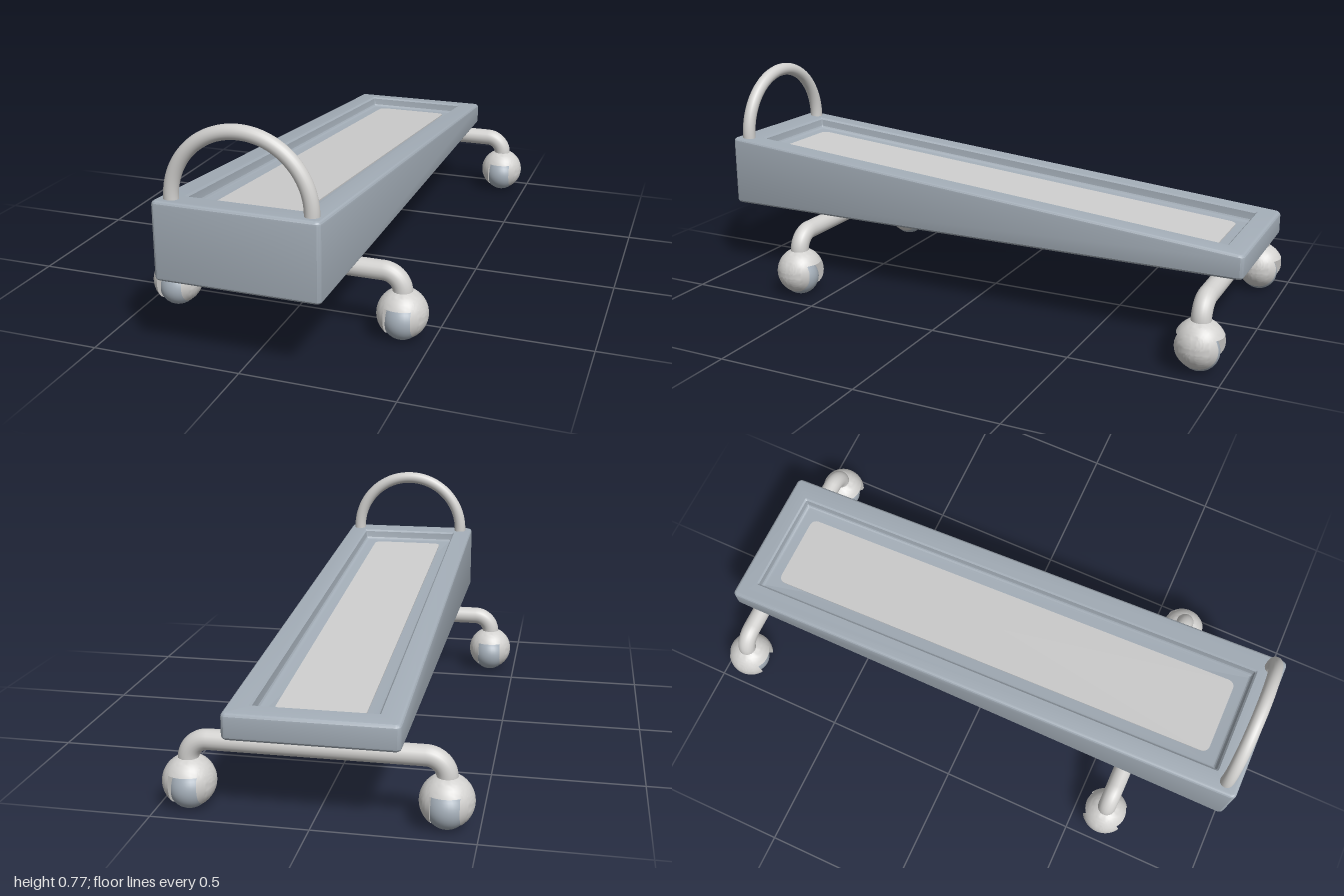
import * as THREE from 'three';
import { toCreasedNormals } from 'three/addons/utils/BufferGeometryUtils.js';

const mat = (name, color, side = THREE.FrontSide) => {
  const m = new THREE.MeshStandardMaterial({ color, side });
  m.name = name;
  return m;
};

// height of the sloping deck at depth z
const deckY = z => 0.4375 + 0.0875 * z;

const CORNER = 4;

// rounded rectangle loop; yAt gives the height at each z
function ring(x0, x1, z0, z1, r, yAt) {
  const pts = [];
  const corners = [[x1 - r, z1 - r], [x0 + r, z1 - r], [x0 + r, z0 + r], [x1 - r, z0 + r]];
  corners.forEach(([cx, cz], q) => {
    for (let i = 0; i <= CORNER; i++) {
      const a = (q + i / CORNER) * Math.PI / 2;
      const z = cz + r * Math.sin(a);
      pts.push([cx + r * Math.cos(a), yAt(z), z]);
    }
  });
  return pts;
}

// skin a stack of loops from the underside round to the top
function loft(rings, crease) {
  const n = rings[0].length, pos = [], idx = [];
  rings.forEach(r => r.forEach(p => pos.push(...p)));
  for (let k = 0; k < rings.length - 1; k++) {
    for (let i = 0; i < n; i++) {
      const j = (i + 1) % n, a = k * n, b = a + n;
      idx.push(a + i, b + i, a + j, a + j, b + i, b + j);
    }
  }
  const g = new THREE.BufferGeometry();
  g.setAttribute('position', new THREE.Float32BufferAttribute(pos, 3));
  g.setIndex(idx);
  return toCreasedNormals(g, crease);
}

function mesh(name, geometry, material, parent) {
  const m = new THREE.Mesh(geometry, material);
  m.name = name;
  parent.add(m);
  return m;
}

// tapered tray with rounded edges and a sunken deck
function bodyGeometry() {
  const X0 = -0.275, X1 = 0.268, Z = 1, BOTTOM = 0.264, R = 0.015, STEPS = 4;
  const outer = (inset, yAt) =>
    ring(X0 + inset, X1 - inset, -Z + inset, Z - inset, Math.max(0.004, 0.019 - inset), yAt);
  const well = (inset, drop) =>
    ring(-0.198 + inset, 0.19 - inset, -0.925 + inset, 0.907 - inset, 0.005, z => deckY(z) - drop);
  const rings = [ring(0, 0, 0, 0, 0, () => BOTTOM)];
  for (let i = 0; i <= STEPS; i++) {
    const a = i / STEPS * Math.PI / 2;
    rings.push(outer(R * (1 - Math.sin(a)), () => BOTTOM + R * (1 - Math.cos(a))));
  }
  for (let i = 0; i <= STEPS; i++) {
    const a = i / STEPS * Math.PI / 2;
    rings.push(outer(R * (1 - Math.cos(a)), z => deckY(z) - R * (1 - Math.sin(a))));
  }
  // rim, wall and coved foot of the well
  rings.push(well(-0.006, 0), well(0, 0.006), well(0.002, 0.025));
  for (let i = 1; i <= STEPS; i++) {
    const a = i / STEPS * Math.PI / 2;
    rings.push(well(0.002 + 0.015 * (1 - Math.cos(a)), 0.025 + 0.015 * Math.sin(a)));
  }
  rings.push(ring(0, 0, 0, 0, 0, z => deckY(z) - 0.04));
  return loft(rings, 0.35);
}

// thin pad with rounded corners lying on the sunken deck
function padGeometry() {
  const layer = drop => ring(-0.147, 0.137, -0.873, 0.858, 0.025, z => deckY(z) - drop);
  return loft([layer(0.041), layer(0.036), ring(0, 0, 0, 0, 0, z => deckY(z) - 0.036)], 0.6);
}

// bent cross bar running between two casters
function axleGeometry() {
  const X = 0.4, Y = 0.228, B = 0.065, v = (x, y) => new THREE.Vector3(x, y, 0);
  const path = new THREE.CurvePath();
  const k = B * 0.448;
  path.add(new THREE.LineCurve3(v(-X, 0.14), v(-X, Y - B)));
  path.add(new THREE.CubicBezierCurve3(v(-X, Y - B), v(-X, Y - k), v(-X + k, Y), v(-X + B, Y)));
  path.add(new THREE.LineCurve3(v(-X + B, Y), v(X - B, Y)));
  path.add(new THREE.CubicBezierCurve3(v(X - B, Y), v(X - k, Y), v(X, Y - k), v(X, Y - B)));
  path.add(new THREE.LineCurve3(v(X, Y - B), v(X, 0.14)));
  return new THREE.TubeGeometry(path, 140, 0.033, 20);
}

// solid slice of a ball beyond a cutting plane, lathed round y
function ballCap(radius, cut) {
  const pts = [new THREE.Vector2(0, cut)];
  const a0 = Math.asin(cut / radius), N = 12;
  for (let i = 0; i <= N; i++) {
    const a = a0 + (Math.PI / 2 - a0) * i / N;
    pts.push(new THREE.Vector2(Math.max(0, radius * Math.cos(a)), radius * Math.sin(a)));
  }
  return toCreasedNormals(new THREE.LatheGeometry(pts, 32), 0.6);
}

export function createModel() {
  const model = new THREE.Group();
  model.name = 'wheeledBed';
  const blue = mat('blueGrey', 0xa3adb7);
  const metal = mat('lightMetal', 0xd2d1cf, THREE.DoubleSide);
  const fabric = mat('padGrey', 0xcdcdcd);

  mesh('body', bodyGeometry(), blue, model);
  mesh('pad', padGeometry(), fabric, model);

  // hoop handle at the tall end
  const hoop = mesh('hoopHandle', new THREE.TorusGeometry(0.2255, 0.0238, 20, 64, Math.PI), metal, model);
  hoop.position.set(0, 0.525, 0.952);
  for (const s of [-1, 1]) {
    const foot = mesh('hoopFoot', new THREE.CylinderGeometry(0.0238, 0.0238, 0.03, 20), metal, model);
    foot.position.set(s * 0.2255, 0.51, 0.952);
  }

  // undercarriage: a cross bar and two ball casters at each end
  const axle = axleGeometry();
  const dome = ballCap(0.0845, 0.035);
  const cheek = ballCap(0.0845, 0.045);
  const ball = new THREE.SphereGeometry(0.065, 32, 20);
  for (const z of [0.612, -0.908]) {
    mesh('crossBar', axle, metal, model).position.z = z;
    for (const s of [-1, 1]) {
      const caster = new THREE.Group();
      caster.name = s > 0 ? 'leftCaster' : 'rightCaster';
      caster.position.set(s * 0.4, 0, z);
      mesh('casterHood', dome, metal, caster).position.y = 0.09;
      for (const t of [-1, 1]) {
        const c = mesh('casterCheek', cheek, metal, caster);
        c.position.y = 0.09;
        c.rotation.z = -t * Math.PI / 2;
      }
      mesh('casterWheel', ball, blue, caster).position.y = 0.065;
      model.add(caster);
    }
  }
  return model;
}
